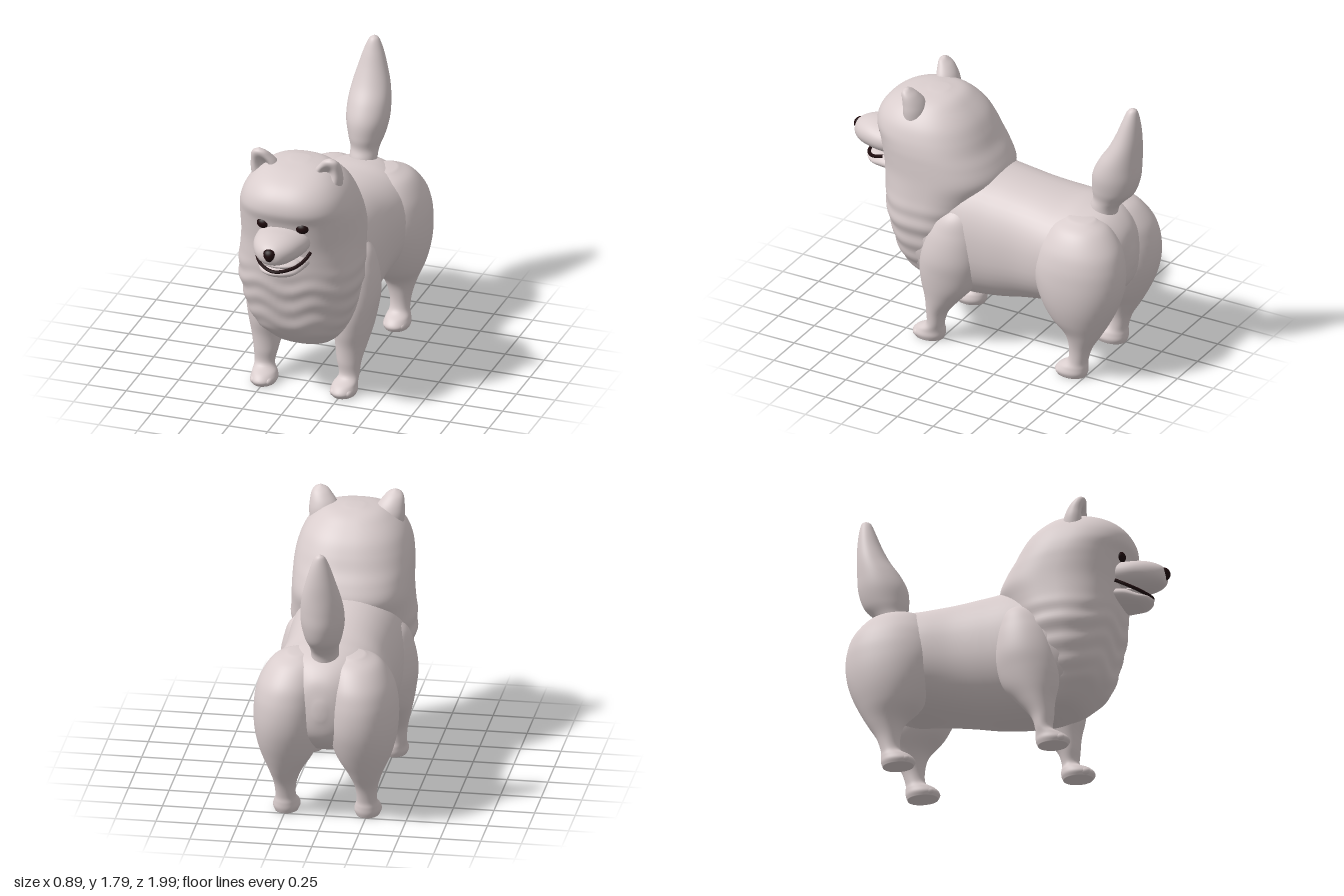
import * as THREE from 'three';

const fur = new THREE.MeshStandardMaterial({ color: 0xd9cdcd });
fur.name = 'paleFur';
const dark = new THREE.MeshStandardMaterial({ color: 0x1e0b0d });
dark.name = 'darkBrown';

// Smooth closed loft; each row is [x, y, z, radiusA, radiusB], rings lie across the given axis
function loft(name, axis, rows, { power = 2, steps = 6, sides = 48, adjust } = {}) {
  const centres = new THREE.CatmullRomCurve3(rows.map(r => new THREE.Vector3(r[0], r[1], r[2])), false, 'catmullrom', 0.5);
  const radii = new THREE.CatmullRomCurve3(rows.map(r => new THREE.Vector3(r[3], r[4], 0)), false, 'catmullrom', 0.5);
  const n = (rows.length - 1) * steps;
  const pos = [], idx = [];
  const bend = v => Math.sign(v) * Math.abs(v) ** (2 / power);
  for (let i = 0; i <= n; i++) {
    const c = centres.getPoint(i / n), r = radii.getPoint(i / n);
    for (let j = 0; j < sides; j++) {
      const t = j / sides * Math.PI * 2;
      const a = Math.max(r.x, 0.001) * bend(Math.cos(t));
      const b = Math.max(r.y, 0.001) * bend(Math.sin(t));
      const p = axis === 'y' ? new THREE.Vector3(c.x + a, c.y, c.z + b) : new THREE.Vector3(c.x + a, c.y - b, c.z);
      if (adjust) adjust(p, c);
      pos.push(p.x, p.y, p.z);
      if (i < n) {
        const k = i * sides + j, m = i * sides + (j + 1) % sides;
        idx.push(k, k + sides, m, m, k + sides, m + sides);
      }
    }
  }
  // end caps
  const first = pos.length / 3, last = n * sides;
  for (const t of [0, 1]) pos.push(...centres.getPoint(t).toArray());
  for (let j = 0; j < sides; j++) {
    const m = (j + 1) % sides;
    idx.push(first, j, m, first + 1, last + m, last + j);
  }
  const g = new THREE.BufferGeometry();
  g.setAttribute('position', new THREE.Float32BufferAttribute(pos, 3));
  g.setIndex(idx);
  g.computeVertexNormals();
  const mesh = new THREE.Mesh(g, fur);
  mesh.name = name;
  return mesh;
}

function ball(name, mat, p, s) {
  const m = new THREE.Mesh(new THREE.SphereGeometry(1, 28, 20), mat);
  m.name = name;
  m.position.set(...p);
  m.scale.set(...s);
  return m;
}

// Upright row from its front and back z
const span = (y, front, back, half, x = 0) => [x, y, (front + back) / 2, half, (front - back) / 2];

export function createModel() {
  const dog = new THREE.Group();
  dog.name = 'dog';

  // Trunk, rump to chest
  dog.add(loft('trunk', 'z', [
    [0, 0.76, -0.95, 0.03, 0.05], [0, 0.76, -0.91, 0.15, 0.19], [0, 0.76, -0.8, 0.28, 0.29],
    [0, 0.74, -0.65, 0.37, 0.34], [0, 0.74, -0.5, 0.37, 0.345], [0, 0.73, -0.3, 0.35, 0.375],
    [0, 0.72, -0.1, 0.355, 0.41], [0, 0.72, 0.1, 0.365, 0.43], [0, 0.71, 0.3, 0.36, 0.41],
    [0, 0.7, 0.5, 0.28, 0.3], [0, 0.7, 0.6, 0.05, 0.05],
  ], { power: 2.25 }));

  // Head and ruff in one sweep, with soft tufts low on the chest
  dog.add(loft('headAndRuff', 'y', [
    span(0.3, 0.3, 0.2, 0.05), span(0.34, 0.43, 0.16, 0.17), span(0.42, 0.53, 0.15, 0.25),
    span(0.5, 0.6, 0.15, 0.295), span(0.6, 0.635, 0.13, 0.335), span(0.7, 0.66, 0.1, 0.36),
    span(0.8, 0.685, 0.07, 0.38), span(0.9, 0.7, 0.03, 0.383), span(1.0, 0.71, -0.02, 0.375),
    span(1.1, 0.72, -0.06, 0.37), span(1.2, 0.735, -0.02, 0.367), span(1.28, 0.75, 0.03, 0.362),
    span(1.36, 0.775, 0.07, 0.345), span(1.44, 0.755, 0.12, 0.31), span(1.51, 0.69, 0.19, 0.25),
    span(1.56, 0.58, 0.26, 0.17), span(1.583, 0.45, 0.35, 0.05),
  ], {
    power: 2.35, sides: 72,
    adjust: (p, c) => {
      const low = THREE.MathUtils.smoothstep(1.0 - p.y, 0, 0.2) * THREE.MathUtils.smoothstep(p.y, 0.36, 0.5);
      const k = 1 + 0.014 * low * Math.sin(p.y * 48 + Math.cos(p.x * 18) * 1.5);
      p.x *= k;
      p.z = c.z + (p.z - c.z) * k;
    },
  }));

  // Muzzle and lower jaw
  dog.add(loft('muzzle', 'z', [
    [0, 1.17, 0.62, 0.17, 0.1], [0, 1.168, 0.75, 0.168, 0.096], [0, 1.17, 0.84, 0.148, 0.092],
    [0, 1.167, 0.91, 0.115, 0.08], [0, 1.165, 0.96, 0.07, 0.055], [0, 1.167, 0.982, 0.015, 0.015],
  ], { power: 2.1 }));
  dog.add(loft('lowerJaw', 'z', [
    [0, 1.03, 0.62, 0.17, 0.06], [0, 1.025, 0.74, 0.152, 0.055], [0, 1.007, 0.82, 0.115, 0.037],
    [0, 1.01, 0.87, 0.07, 0.022], [0, 1.013, 0.893, 0.015, 0.006],
  ]));
  dog.add(ball('tongue', fur, [0, 1.05, 0.77], [0.125, 0.028, 0.09]));

  // Dark lip line
  const lip = new THREE.CatmullRomCurve3([
    [-0.17, 1.1, 0.7], [-0.15, 1.07, 0.765], [-0.1, 1.043, 0.835], [0, 1.028, 0.885],
    [0.1, 1.043, 0.835], [0.15, 1.07, 0.765], [0.17, 1.1, 0.7],
  ].map(p => new THREE.Vector3(...p)));
  const mouth = new THREE.Mesh(new THREE.TubeGeometry(lip, 48, 0.011, 8), dark);
  mouth.name = 'lips';
  dog.add(mouth);

  // Nose, narrower at the bottom
  const nose = ball('nose', dark, [0, 1.175, 0.963], [0.044, 0.042, 0.036]);
  const np = nose.geometry.attributes.position;
  for (let i = 0; i < np.count; i++) np.setX(i, np.getX(i) * (0.85 + 0.25 * np.getY(i)));
  nose.geometry.computeVertexNormals();
  dog.add(nose);

  // Tail
  dog.add(loft('tail', 'y', [
    span(0.98, -0.64, -0.82, 0.09), span(1.07, -0.655, -0.835, 0.085), span(1.13, -0.675, -0.88, 0.09),
    span(1.2, -0.668, -0.945, 0.112), span(1.3, -0.675, -0.98, 0.132), span(1.4, -0.72, -0.988, 0.132),
    span(1.5, -0.785, -0.99, 0.118), span(1.6, -0.835, -0.99, 0.092), span(1.7, -0.875, -0.982, 0.062),
    span(1.77, -0.905, -0.968, 0.032), span(1.79, -0.933, -0.947, 0.006),
  ]));

  for (const s of [1, -1]) {
    const side = s > 0 ? 'left' : 'right';

    // Hind leg with round haunch
    dog.add(loft(side + 'HindLeg', 'y', [
      span(0, -0.56, -0.75, 0.072, s * 0.25), span(0.03, -0.548, -0.76, 0.083, s * 0.25),
      span(0.065, -0.575, -0.762, 0.075, s * 0.25), span(0.11, -0.637, -0.762, 0.062, s * 0.25),
      span(0.2, -0.645, -0.79, 0.07, s * 0.25), span(0.3, -0.615, -0.85, 0.105, s * 0.245),
      span(0.4, -0.52, -0.905, 0.16, s * 0.235), span(0.5, -0.46, -0.95, 0.195, s * 0.23),
      span(0.6, -0.42, -0.98, 0.215, s * 0.225), span(0.7, -0.4, -0.99, 0.22, s * 0.222),
      span(0.8, -0.41, -0.98, 0.215, s * 0.217), span(0.9, -0.44, -0.945, 0.195, s * 0.205),
      span(1.0, -0.51, -0.86, 0.145, s * 0.185), span(1.05, -0.6, -0.76, 0.06, s * 0.17),
    ], { power: 2.1 }));

    // Front leg with shoulder
    dog.add(loft(side + 'FrontLeg', 'y', [
      span(0, 0.425, 0.24, 0.072, s * 0.258), span(0.03, 0.44, 0.228, 0.083, s * 0.257),
      span(0.065, 0.41, 0.226, 0.075, s * 0.26), span(0.11, 0.338, 0.228, 0.063, s * 0.272),
      span(0.2, 0.34, 0.2, 0.077, s * 0.268), span(0.3, 0.348, 0.12, 0.098, s * 0.27),
      span(0.4, 0.37, 0.035, 0.12, s * 0.272), span(0.5, 0.38, -0.01, 0.138, s * 0.272),
      span(0.6, 0.37, -0.03, 0.15, s * 0.273), span(0.7, 0.35, -0.03, 0.15, s * 0.268),
      span(0.8, 0.32, -0.02, 0.14, s * 0.258), span(0.9, 0.26, 0.01, 0.12, s * 0.24),
      span(0.98, 0.17, 0.07, 0.05, s * 0.22),
    ]));

    // Toes
    for (const [paw, x, z] of [['Front', 0.257, 0.395], ['Hind', 0.25, -0.595]])
      for (const d of [-0.045, 0, 0.045])
        dog.add(ball(side + paw + 'Toe', fur, [s * x + d, 0.028, z - Math.abs(d) * 0.4], [0.028, 0.028, 0.045]));

    // Ear, hollowed at the front
    dog.add(loft(side + 'Ear', 'y', [
      span(1.4, 0.53, 0.38, 0.08, s * 0.2), span(1.5, 0.54, 0.385, 0.094, s * 0.2),
      span(1.56, 0.542, 0.405, 0.085, s * 0.207), span(1.61, 0.542, 0.44, 0.063, s * 0.222),
      span(1.64, 0.535, 0.475, 0.04, s * 0.228), span(1.655, 0.515, 0.495, 0.008, s * 0.23),
    ], {
      adjust: (p, c) => {
        const d = (p.x - c.x) / 0.042, h = (p.y - 1.53) / 0.065;
        if (p.z > c.z) p.z -= 0.075 * Math.exp(-d * d - h * h);
      },
    }));

    // Eye
    dog.add(ball(side + 'Eye', dark, [s * 0.125, 1.268, 0.722], [0.041, 0.035, 0.032]));
  }
  return dog;
}
